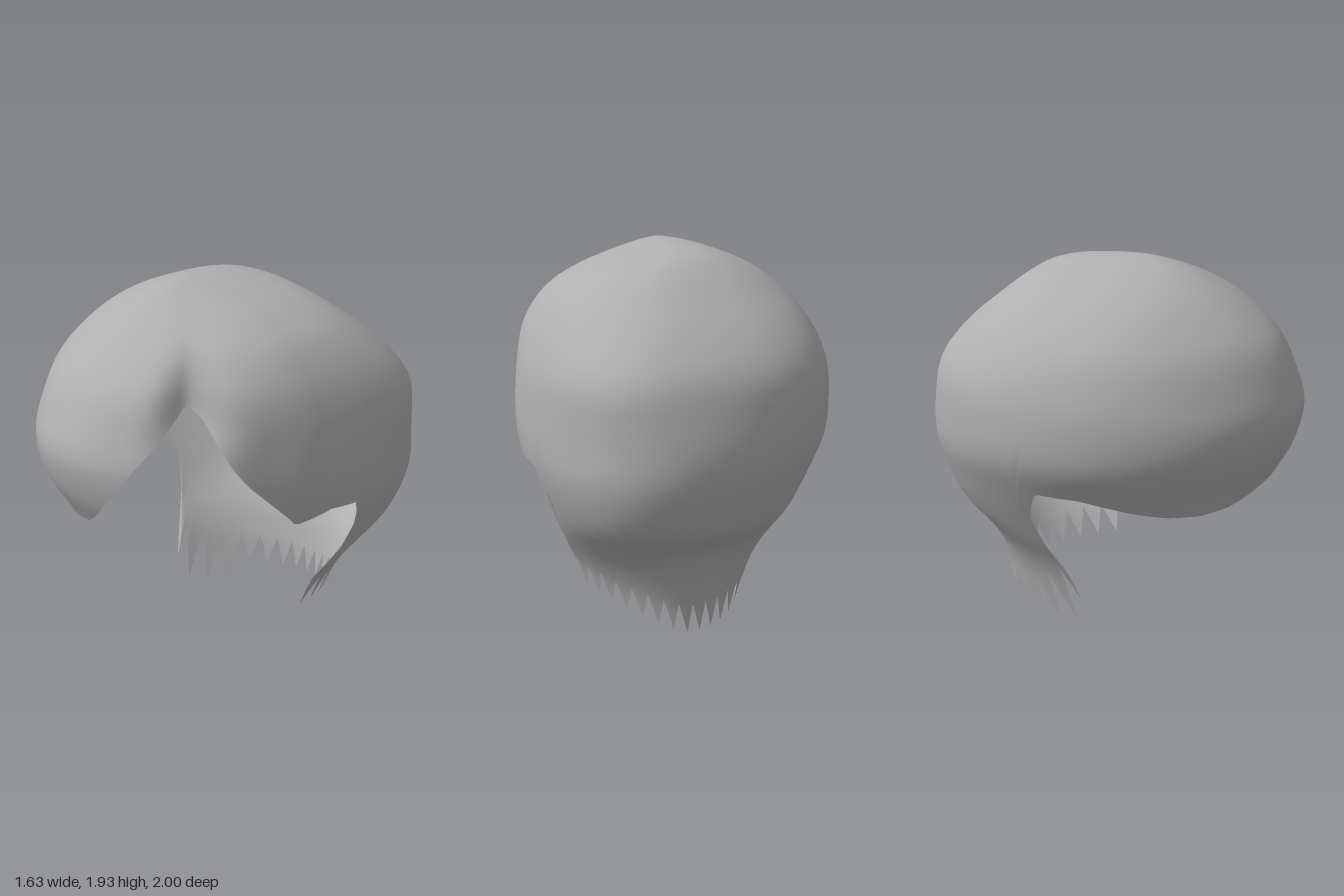
import * as THREE from 'three';
import { mergeVertices } from 'three/addons/utils/BufferGeometryUtils.js';

// Horizontal sections from crown to nape: [y, right x, left x, front z, back z]
const SECTIONS = [
  [1.93, -0.04, -0.04, 0.15, 0.15],
  [1.915, -0.14, 0.05, 0.27, -0.12],
  [1.87, -0.28, 0.21, 0.41, -0.32],
  [1.80, -0.44, 0.41, 0.55, -0.45],
  [1.70, -0.58, 0.58, 0.70, -0.585],
  [1.55, -0.71, 0.70, 0.86, -0.77],
  [1.38, -0.785, 0.77, 0.95, -0.915],
  [1.20, -0.815, 0.805, 1.00, -0.97],
  [1.00, -0.80, 0.815, 0.955, -1.00],
  [0.82, -0.71, 0.79, 0.86, -0.98],
  [0.62, -0.60, 0.72, 0.78, -0.90],
  [0.48, -0.53, 0.66, 0.70, -0.74],
  [0.30, -0.44, 0.56, 0.63, -0.655],
  [0.00, -0.37, 0.46, 0.58, -0.62],
];

// Hem height around the head: [degrees, y]; 0 = left side, 90 = front, 270 = back
const HEM = [
  [0, 0.88], [13, 0.83], [20, 0.98], [26, 1.10], [33, 1.28], [40, 1.42], [47, 1.49],
  [58, 1.27], [69, 1.08], [80, 0.93], [90, 0.84], [104, 0.80], [120, 0.73], [132, 0.71],
  [144, 0.72], [154, 0.75], [173, 0.83], [187, 0.84], [192, 0.66], [195, 0.34],
  [215, 0.24], [250, 0.19], [275, 0.18], [300, 0.25], [325, 0.31], [343, 0.34],
  [346, 0.66], [349, 0.86], [360, 0.88],
];

const COLS = 240, LAST = SECTIONS.length - 1;
// Rows over the crown, down to the hem, and along the strand tips
const CROWN = 22, SKIRT = 22, TIPS = 3, ROWS = CROWN + SKIRT + TIPS;
const CROWN_END = 4.8;

// Smooth (Catmull-Rom) section at fractional index u
function section(u) {
  const i = Math.min(Math.floor(u), LAST - 1), t = u - i;
  const p = (k) => SECTIONS[Math.max(0, Math.min(LAST, k))];
  return p(i).map((b, n) => {
    const a = p(i - 1)[n], c = p(i + 1)[n], d = p(i + 2)[n];
    return b + 0.5 * t * (c - a + t * (2 * a - 5 * b + 4 * c - d + t * (3 * (b - c) + d - a)));
  });
}

// Section index at height y
function indexAt(y) {
  let lo = 0, hi = LAST;
  for (let k = 0; k < 30; k++) {
    const mid = (lo + hi) / 2;
    if (section(mid)[0] > y) lo = mid; else hi = mid;
  }
  return lo;
}

// Hem height without and with the pointed strands along the nape
function hemHeights(col) {
  const deg = col * 360 / COLS;
  const k = Math.max(1, HEM.findIndex((h) => h[0] > deg));
  const [d0, y0] = HEM[k - 1], [d1, y1] = HEM[k];
  const base = y0 + (y1 - y0) * (deg - d0) / (d1 - d0);
  if (deg < 195 || deg > 344) return [base, base];
  const tip = 1 - Math.abs((col % 6) - 3) / 3;
  const length = deg < 225 ? 0.28 : 0.15;
  return [base, Math.max(0, base - tip * length)];
}

const bell = (v, centre, width) => Math.exp(-(((v - centre) / width) ** 2));

function hairPoint(u, angle) {
  const [y, x0, x1, z1, z0] = section(u);
  const c = Math.cos(angle), s = Math.sin(angle);
  const upper = THREE.MathUtils.smoothstep(y, 1.0, 1.35);
  // Crease where the fringe parts from the side hair, sharper on the fringe side
  let r = 1 - 0.14 * bell(angle, 0.80, angle > 0.80 ? 0.14 : 0.23)
    * bell(y, 1.45, y > 1.45 ? 0.25 : 0.2);
  // Side hair tucked in along its front edge
  const turn = angle > Math.PI * 1.5 ? angle - Math.PI * 2 : angle;
  r -= 0.06 * bell(turn, 0.35, 0.25) * bell(Math.max(y, 1.15), 1.15, 0.25);
  // Squarer at the back, slimmer at the front
  const diagonal = 4 * s * s * c * c;
  if (s < 0) r += (c < 0 ? 0.05 + 0.025 * upper : 0.03 + 0.05 * upper) * diagonal;
  else r -= (c < 0 ? 0.02 : 0.025) * upper * diagonal;
  let x = (x0 + x1) / 2 + r * c * (x1 - x0) / 2;
  let z = (z0 + z1) / 2 + r * s * (z1 - z0) / 2;
  // The back is fuller towards the left
  if (z < 0) x += 0.18 * z * z;
  // Nape strands flick forward at the sides
  if (s < 0 && y < 0.5) z += 0.4 * (0.5 - y) * c * c;
  return [x, y, z];
}

function hairGeometry() {
  const positions = [], index = [];
  for (let j = 0; j < COLS; j++) {
    const [base, tip] = hemHeights(j).map(indexAt);
    for (let i = 0; i <= ROWS; i++) {
      let u = CROWN_END * i / CROWN;
      if (i > CROWN) u = CROWN_END + (base - CROWN_END) * (i - CROWN) / SKIRT;
      if (i > CROWN + SKIRT) u = base + (tip - base) * (i - CROWN - SKIRT) / TIPS;
      positions.push(...hairPoint(u, j / COLS * Math.PI * 2));
    }
  }
  const id = (i, j) => (j % COLS) * (ROWS + 1) + i;
  for (let j = 0; j < COLS; j++) {
    for (let i = 0; i < ROWS; i++) {
      const a = id(i, j), b = id(i, j + 1), c = id(i + 1, j), d = id(i + 1, j + 1);
      if (i > 0) index.push(a, b, c);
      index.push(b, d, c);
    }
  }
  const geometry = new THREE.BufferGeometry();
  geometry.setAttribute('position', new THREE.Float32BufferAttribute(positions, 3));
  geometry.setIndex(index);
  const merged = mergeVertices(geometry, 1e-5);
  merged.computeVertexNormals();
  return merged;
}

export function createModel() {
  const grey = new THREE.MeshStandardMaterial({ color: 0xb0b0b0, side: THREE.DoubleSide });
  grey.name = 'hair grey';
  const hair = new THREE.Mesh(hairGeometry(), grey);
  hair.name = 'hair';
  const group = new THREE.Group();
  group.name = 'sweptHair';
  group.add(hair);
  return group;
}
